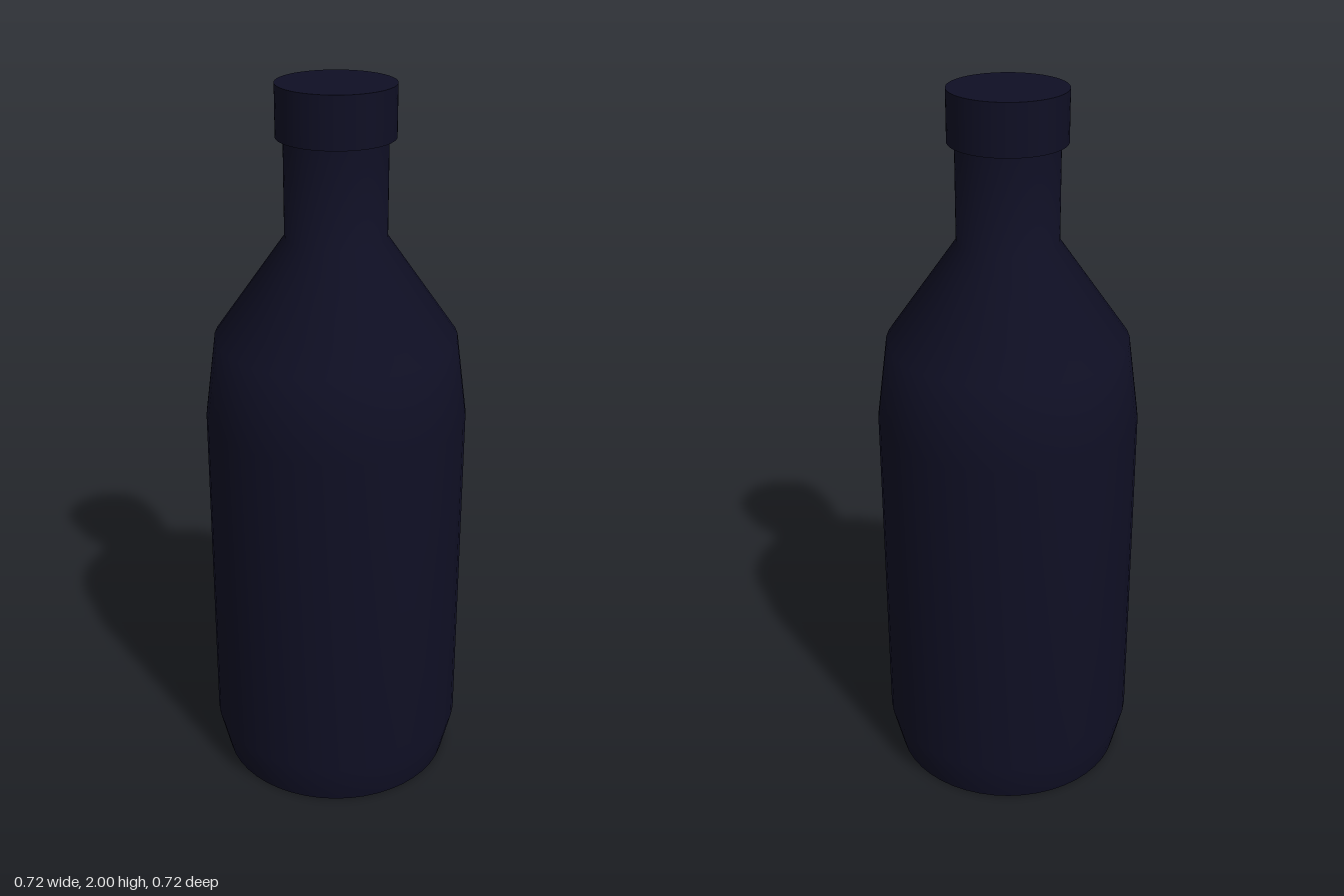
import * as THREE from 'three';

const SEGMENTS = 48;

export function createModel() {
  const group = new THREE.Group();
  group.name = 'bottle';
  const darkNavy = new THREE.MeshStandardMaterial({ color: 0x0f0f24 });
  darkNavy.name = 'darkNavy';

  const add = (name, geometry, y = 0) => {
    const mesh = new THREE.Mesh(geometry, darkNavy);
    mesh.name = name;
    mesh.position.y = y;
    group.add(mesh);
  };

  // Body: tapered foot, straight wall, shoulder and neck, smooth all round
  const profile = [
    [0.33, 0], [0.36, 0.125], [0.36, 1.1], [0.33, 1.325], [0.137, 1.6], [0.137, 1.87],
  ].map(([r, y]) => new THREE.Vector2(r, y));
  add('body', new THREE.LatheGeometry(profile, SEGMENTS));

  // Flat underside
  const base = new THREE.CircleGeometry(0.33, SEGMENTS);
  base.rotateX(Math.PI / 2);
  add('base', base);

  // Cap, slightly wider than the neck
  add('cap', new THREE.CylinderGeometry(0.157, 0.157, 0.137, SEGMENTS), 1.9315);

  return group;
}
